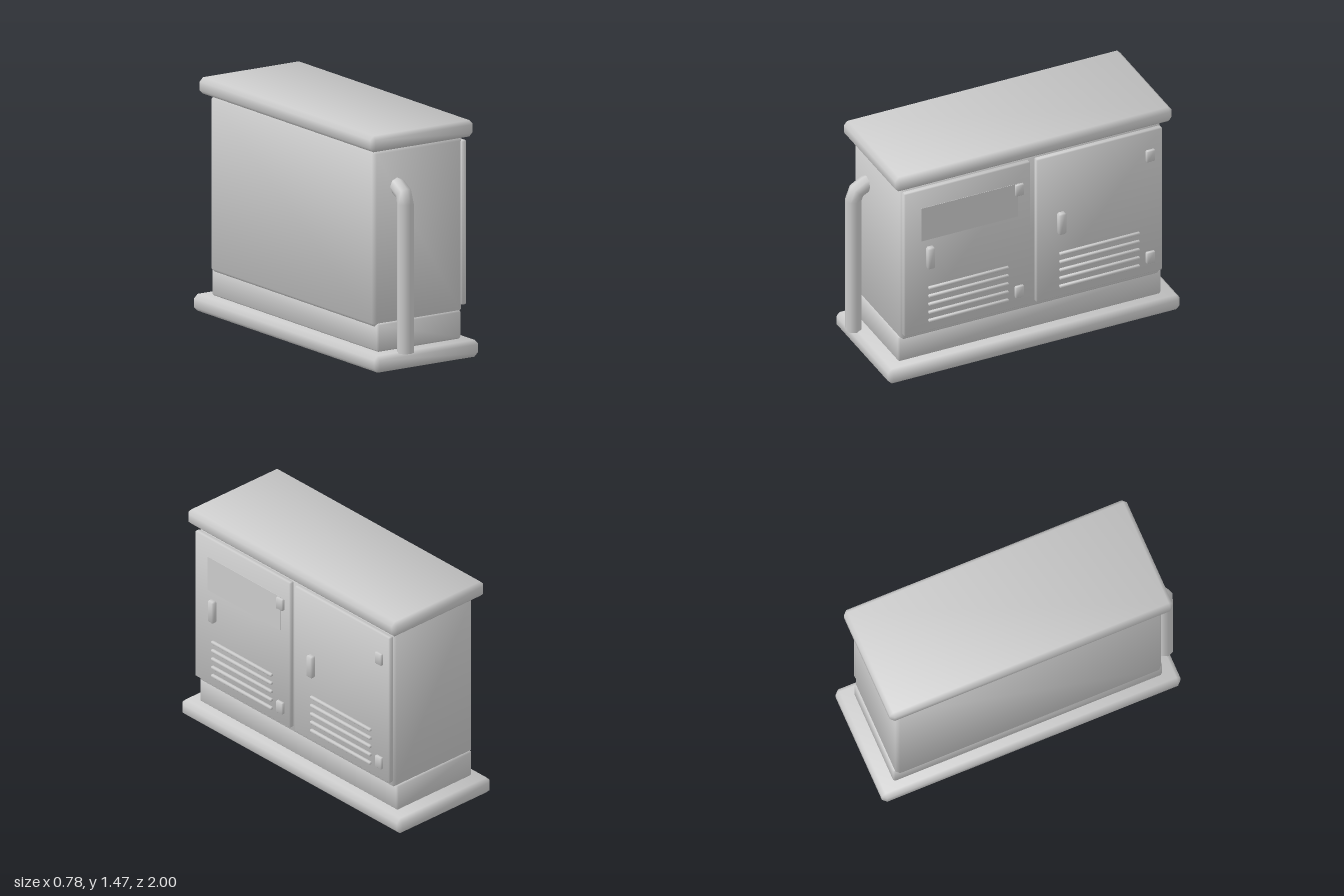
import * as THREE from 'three';

const paint = new THREE.MeshStandardMaterial({ color: 0xcccccc });
paint.name = 'light grey paint';

// Box with a single chamfer on every edge and soft normals shared across it.
function chamferBox(x0, x1, y0, y1, z0, z1, c) {
  const mid = [(x0 + x1) / 2, (y0 + y1) / 2, (z0 + z1) / 2];
  const half = [(x1 - x0) / 2, (y1 - y0) / 2, (z1 - z0) / 2];
  const pos = [], nor = [];
  // corner of the face on the given axis, at the signs s
  const vert = (s, axis) => ({
    p: new THREE.Vector3(...s.map((v, i) => v * (half[i] - (i === axis ? 0 : c)))),
    n: new THREE.Vector3(...s.map((v, i) => v * (i === axis ? 1 : 0.38))).normalize(),
  });
  const tri = (a, b, d) => {
    const n = b.p.clone().sub(a.p).cross(d.p.clone().sub(a.p));
    const out = a.p.clone().add(b.p).add(d.p);
    for (const v of n.dot(out) > 0 ? [a, b, d] : [a, d, b]) {
      pos.push(v.p.x + mid[0], v.p.y + mid[1], v.p.z + mid[2]);
      nor.push(v.n.x, v.n.y, v.n.z);
    }
  };
  const quad = (a, b, d, e) => { tri(a, b, d); tri(a, d, e); };
  const signs = (i, a, j, b, k, d) => { const s = []; s[i] = a; s[j] = b; s[k] = d; return s; };
  for (let i = 0; i < 3; i++) {
    const j = (i + 1) % 3, k = (i + 2) % 3;
    for (const a of [-1, 1]) {
      // flat face
      quad(...[[1, -1], [1, 1], [-1, 1], [-1, -1]].map(([b, d]) => vert(signs(i, a, j, b, k, d), i)));
      // edge chamfers running along axis k
      for (const b of [-1, 1]) {
        const lo = signs(i, a, j, b, k, -1), hi = signs(i, a, j, b, k, 1);
        quad(vert(lo, i), vert(lo, j), vert(hi, j), vert(hi, i));
      }
    }
  }
  // corner triangles
  for (const a of [-1, 1]) for (const b of [-1, 1]) for (const d of [-1, 1]) {
    tri(vert([a, b, d], 0), vert([a, b, d], 1), vert([a, b, d], 2));
  }
  const g = new THREE.BufferGeometry();
  g.setAttribute('position', new THREE.Float32BufferAttribute(pos, 3));
  g.setAttribute('normal', new THREE.Float32BufferAttribute(nor, 3));
  return g;
}

// Eight-sided pipe: each row of a cylinder is moved and tilted along the path.
function pipeGeometry(x, r, rings) {
  const rows = rings.length - 1;
  const g = new THREE.CylinderGeometry(r, r, 1, 8, rows);
  const p = g.attributes.position, n = g.attributes.normal;
  const v = new THREE.Vector3(), axis = new THREE.Vector3(1, 0, 0);
  for (let i = 0; i < p.count; i++) {
    const [y, z, tilt] = rings[Math.round((p.getY(i) + 0.5) * rows)];
    v.set(p.getX(i), 0, p.getZ(i)).applyAxisAngle(axis, -tilt);
    p.setXYZ(i, v.x + x, v.y + y, v.z + z);
    v.fromBufferAttribute(n, i).applyAxisAngle(axis, -tilt);
    n.setXYZ(i, v.x, v.y, v.z);
  }
  return g;
}

export function createModel() {
  const model = new THREE.Group();
  model.name = 'electrical cabinet';
  const add = (parent, name, geometry) => {
    const m = new THREE.Mesh(geometry, paint);
    m.name = name;
    parent.add(m);
    return m;
  };
  const box = (parent, name, ...size) => add(parent, name, chamferBox(...size));

  // Housing
  box(model, 'baseSlab', -0.39, 0.375, 0, 0.105, -1, 0.965, 0.025);
  box(model, 'plinth', -0.315, 0.302, 0.105, 0.283, -0.9, 0.87, 0.011);
  box(model, 'cabinetBody', -0.337, 0.32, 0.26, 1.36, -0.89, 0.86, 0.022);
  box(model, 'roof', -0.385, 0.37, 1.365, 1.467, -0.947, 0.915, 0.024);

  // Two matching doors on the +x side
  [['front', 0.005, 0.855, 0], ['rear', -0.883, -0.035, -0.883]].forEach(([name, z0, z1, dz]) => {
    const door = new THREE.Group();
    door.name = name + 'Door';
    model.add(door);
    box(door, 'doorLeaf', 0.315, 0.352, 0.31, 1.335, z0, z1, 0.007);
    box(door, 'handle', 0.345, 0.387, 0.77, 0.92, 0.66 + dz, 0.71 + dz, 0.009);
    for (const y of [0.39, 1.12]) {
      box(door, 'hinge', 0.345, 0.371, y, y + 0.08, 0.055 + dz, 0.112 + dz, 0.005);
    }
    for (let i = 0; i < 5; i++) {
      const y = 0.378 + i * 0.0585;
      box(door, 'ventSlat', 0.345, 0.37, y, y + 0.019, 0.157 + dz, 0.695 + dz, 0.004);
    }
  });

  // Flat notice plate on the front door
  const plate = add(model, 'noticePlate', new THREE.BoxGeometry(0.004, 0.235, 0.65));
  plate.position.set(0.352, 1.085, 0.415);

  // Cable pipe that bends into the front end
  add(model, 'cablePipe', pipeGeometry(-0.165, 0.052, [
    [0.1, 0.948, 0], [1.03, 0.948, 0], [1.088, 0.927, 0.75], [1.121, 0.868, 1.2], [1.127, 0.835, 1.4],
  ]));
  return model;
}
